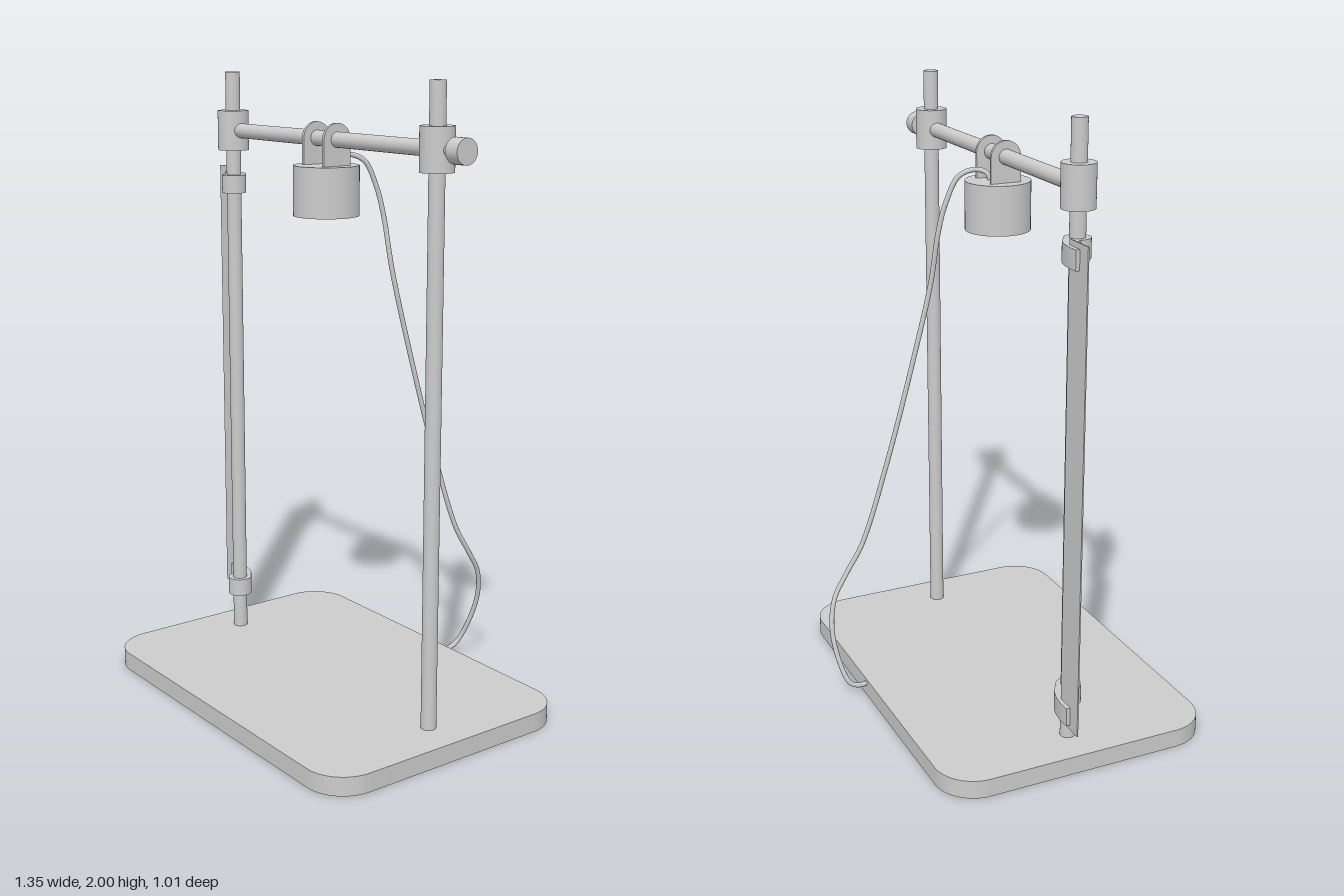
import * as THREE from 'three';
import { toCreasedNormals } from 'three/addons/utils/BufferGeometryUtils.js';

const material = new THREE.MeshStandardMaterial({ color: 0xcccccc });
const AXIS_Z = 0.05;
const BAR_Y = 1.81;

export function createModel() {
  const model = new THREE.Group();

  function add(name, geometry, x = 0, y = 0, z = 0) {
    const mesh = new THREE.Mesh(geometry, material);
    mesh.name = name;
    mesh.position.set(x, y, z);
    model.add(mesh);
    return mesh;
  }

  // Upright cylinder from y0 to y1
  function upright(name, radius, x, y0, y1) {
    return add(name, new THREE.CylinderGeometry(radius, radius, y1 - y0, 40), x, (y0 + y1) / 2, AXIS_Z);
  }

  // Horizontal cylinder from x0 to x1, in line with the crossbar
  function level(name, radius, x0, x1) {
    const geometry = new THREE.CylinderGeometry(radius, radius, x1 - x0, 32).rotateZ(Math.PI / 2);
    return add(name, geometry, (x0 + x1) / 2, BAR_Y, AXIS_Z);
  }

  // Plan outline (shape y is -z) raised to a height
  function slab(shape, height) {
    const geometry = new THREE.ExtrudeGeometry(shape, { depth: height, bevelEnabled: false, curveSegments: 16 });
    return toCreasedNormals(geometry.rotateX(-Math.PI / 2), 0.6);
  }

  // Base plate with rounded corners
  const w = 0.65, d = 0.455, r = 0.13;
  const plate = new THREE.Shape();
  plate.absarc(w - r, d - r, r, 0, Math.PI / 2);
  plate.absarc(r - w, d - r, r, Math.PI / 2, Math.PI);
  plate.absarc(r - w, r - d, r, Math.PI, Math.PI * 1.5);
  plate.absarc(w - r, r - d, r, Math.PI * 1.5, Math.PI * 2);
  plate.closePath();
  add('base', slab(plate, 0.06), 0.022, 0, AXIS_Z);

  // Two posts with clamps
  for (const x of [-0.5, 0.545]) {
    upright('post', 0.024, x, 0.05, 2);
    upright('postClamp', 0.051, x, 1.745, 1.875);
  }

  // Crossbar and locking knob
  level('crossbar', 0.024, -0.5, 0.545);
  level('knobShaft', 0.018, 0.57, 0.63);
  level('knob', 0.038, 0.622, 0.672);

  // Hanging weight with two round-topped hanger plates
  upright('hangingWeight', 0.103, 0.022, 1.575, 1.73);
  const hanger = new THREE.Shape();
  hanger.moveTo(-0.05, -0.085);
  hanger.lineTo(0.05, -0.085);
  hanger.lineTo(0.05, 0);
  hanger.absarc(0, 0, 0.05, 0, Math.PI);
  hanger.closePath();
  const hole = new THREE.Path();
  hole.absarc(0, 0, 0.024, 0, Math.PI * 2, true);
  hanger.holes.push(hole);
  const hangerGeometry = toCreasedNormals(
    new THREE.ExtrudeGeometry(hanger, { depth: 0.01, bevelEnabled: false, curveSegments: 20 })
      .translate(0, 0, -0.005).rotateY(Math.PI / 2), 0.6);
  for (const x of [-0.031, 0.074]) add('hanger', hangerGeometry, x, BAR_Y, AXIS_Z);

  // Thin scale held beside the post by two curved clips
  add('scale', new THREE.BoxGeometry(0.108, 1.515, 0.004), -0.624, 0.9225, -0.011);
  const arm = new THREE.Shape();
  arm.moveTo(-0.632, 0.012);
  arm.lineTo(-0.632, 0.025);
  arm.bezierCurveTo(-0.58, 0.032, -0.51, 0.018, -0.49, -0.014);
  arm.lineTo(-0.5, -0.05);
  arm.lineTo(-0.537, -0.045);
  arm.bezierCurveTo(-0.55, -0.01, -0.58, -0.004, -0.632, -0.002);
  arm.closePath();
  const armGeometry = slab(arm, 0.06);
  for (const y of [0.18, 1.603]) {
    add('clipArm', armGeometry, 0, y, 0);
    upright('clipCollar', 0.04, -0.5, y, y + 0.06);
  }

  // Cable from the weight down to the back edge of the base
  const cablePoints = [
    [0.03, 1.72, 0.03], [0.035, 1.75, 0.02], [0.05, 1.762, -0.01], [0.07, 1.742, -0.06],
    [0.081, 1.66, -0.1], [0.09, 1.57, -0.122], [0.11, 1.4, -0.142], [0.124, 1.15, -0.2],
    [0.147, 0.8, -0.29], [0.17, 0.52, -0.375], [0.178, 0.42, -0.43], [0.172, 0.34, -0.477],
    [0.15, 0.24, -0.498], [0.114, 0.13, -0.488], [0.088, 0.06, -0.463], [0.085, 0.045, -0.435],
    [0.09, 0.043, -0.395],
  ].map((p) => new THREE.Vector3(...p));
  add('cable', new THREE.TubeGeometry(new THREE.CatmullRomCurve3(cablePoints), 160, 0.008, 10));

  return model;
}
